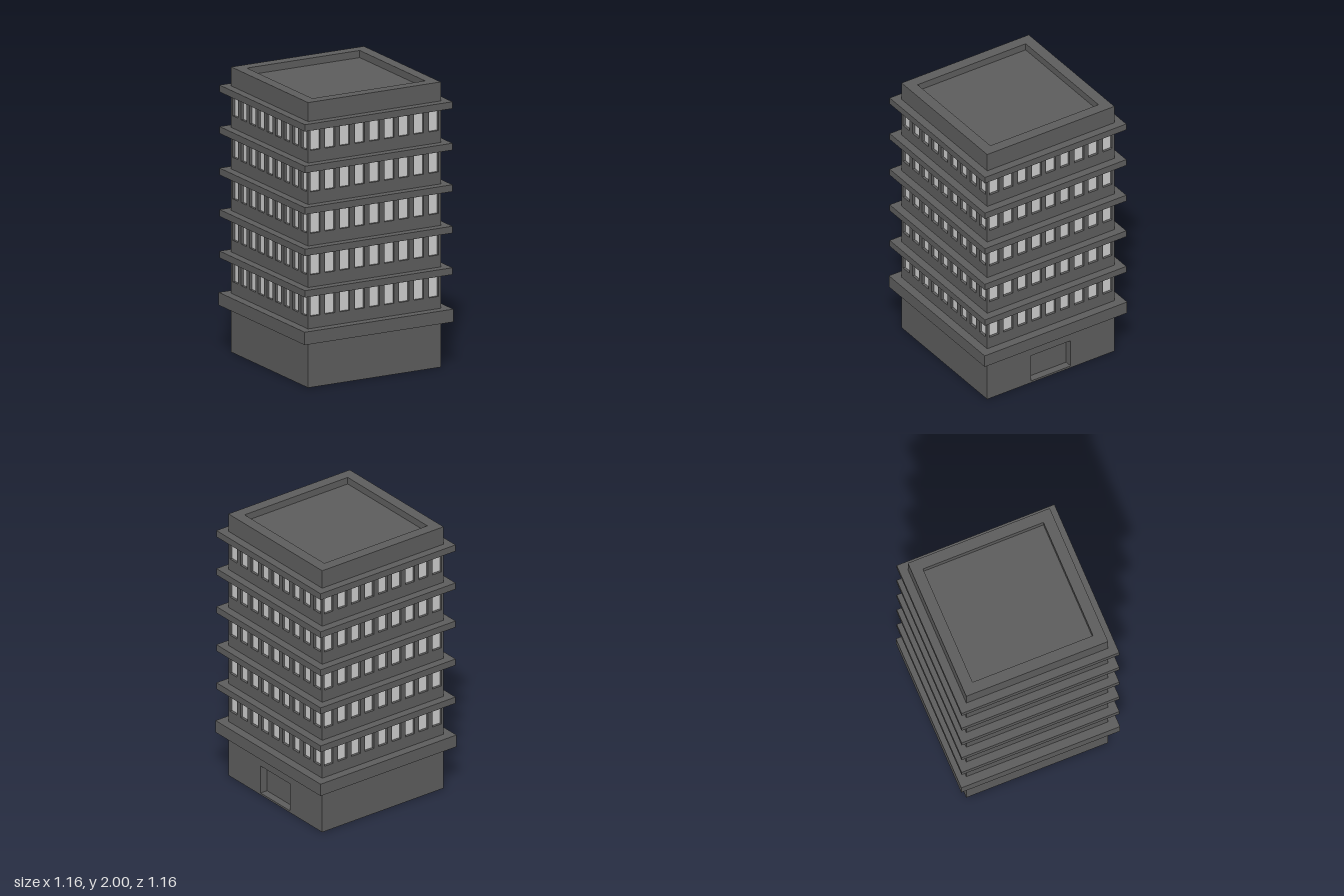
import * as THREE from 'three';

const HALF = 0.518;      // half width of the tower
const WALL = 0.018;      // depth of the window reveals
const FLOORS = 5, FLOOR_STEP = 0.291;
const COLUMNS = 9, COLUMN_STEP = 0.1155;

const concrete = new THREE.MeshStandardMaterial({ color: 0x5c5c5c });
const glass = new THREE.MeshStandardMaterial({ color: 0xcccccc });

// Rectangle outline from corner to corner
function rect(x0, y0, x1, y1, Type = THREE.Shape) {
  return new Type([[x0, y0], [x1, y0], [x1, y1], [x0, y1]].map(p => new THREE.Vector2(...p)));
}

function extrude(shape, depth) {
  return new THREE.ExtrudeGeometry(shape, { depth, bevelEnabled: false });
}

export function createModel() {
  const building = new THREE.Group();
  building.name = 'officeTower';

  function add(name, geometry, material = concrete) {
    const mesh = new THREE.Mesh(geometry, material);
    mesh.name = name;
    building.add(mesh);
    return mesh;
  }

  // Square slab between two heights
  function slab(name, half, y0, y1, material) {
    const geometry = new THREE.BoxGeometry(2 * half, y1 - y0, 2 * half);
    return add(name, geometry.translate(0, (y0 + y1) / 2, 0), material);
  }

  // Ground floor: solid block plus a front layer holding the recessed doorway
  const doorDepth = 0.055, baseTop = 0.37;
  const block = new THREE.BoxGeometry(2 * HALF - doorDepth, baseTop, 2 * HALF);
  add('groundFloor', block.translate(-doorDepth / 2, baseTop / 2, 0));
  const entrance = rect(-HALF, 0, HALF, baseTop);
  entrance.holes.push(rect(-0.162, 0.014, 0.162, 0.22, THREE.Path));
  add('entranceWall', extrude(entrance, doorDepth).translate(0, 0, HALF - doorDepth).rotateY(Math.PI / 2));

  // Glazed core seen through the window openings
  slab('windowGlass', HALF - WALL, 0.44, 1.84, glass);

  // Four facades with a grid of window openings
  const facade = rect(-HALF, baseTop, HALF, 1.845);
  for (let floor = 0; floor < FLOORS; floor++) {
    const y = 0.498 + floor * FLOOR_STEP;
    for (let column = 0; column < COLUMNS; column++) {
      const x = (column - (COLUMNS - 1) / 2) * COLUMN_STEP;
      facade.holes.push(rect(x - 0.038, y, x + 0.038, y + 0.138, THREE.Path));
    }
  }
  const facadeGeometry = extrude(facade, WALL).translate(0, 0, HALF - WALL);
  ['front', 'left', 'back', 'right'].forEach((side, i) => {
    add(side + 'Facade', facadeGeometry).rotation.y = i * Math.PI / 2;
  });

  // Canopy over the ground floor and a ledge above each row of windows
  slab('canopy', 0.58, 0.323, 0.413);
  for (let floor = 0; floor < FLOORS; floor++) {
    const y = 0.655 + floor * FLOOR_STEP;
    slab('ledge', 0.576, y, y + 0.048);
  }

  // Parapet ring around the sunken roof
  const parapet = rect(-HALF, -HALF, HALF, HALF);
  parapet.holes.push(rect(-0.44, -0.44, 0.44, 0.44, THREE.Path));
  add('parapet', extrude(parapet, 0.155).rotateX(-Math.PI / 2).translate(0, 1.845, 0));
  slab('roof', 0.44, 1.845, 1.95);

  return building;
}
